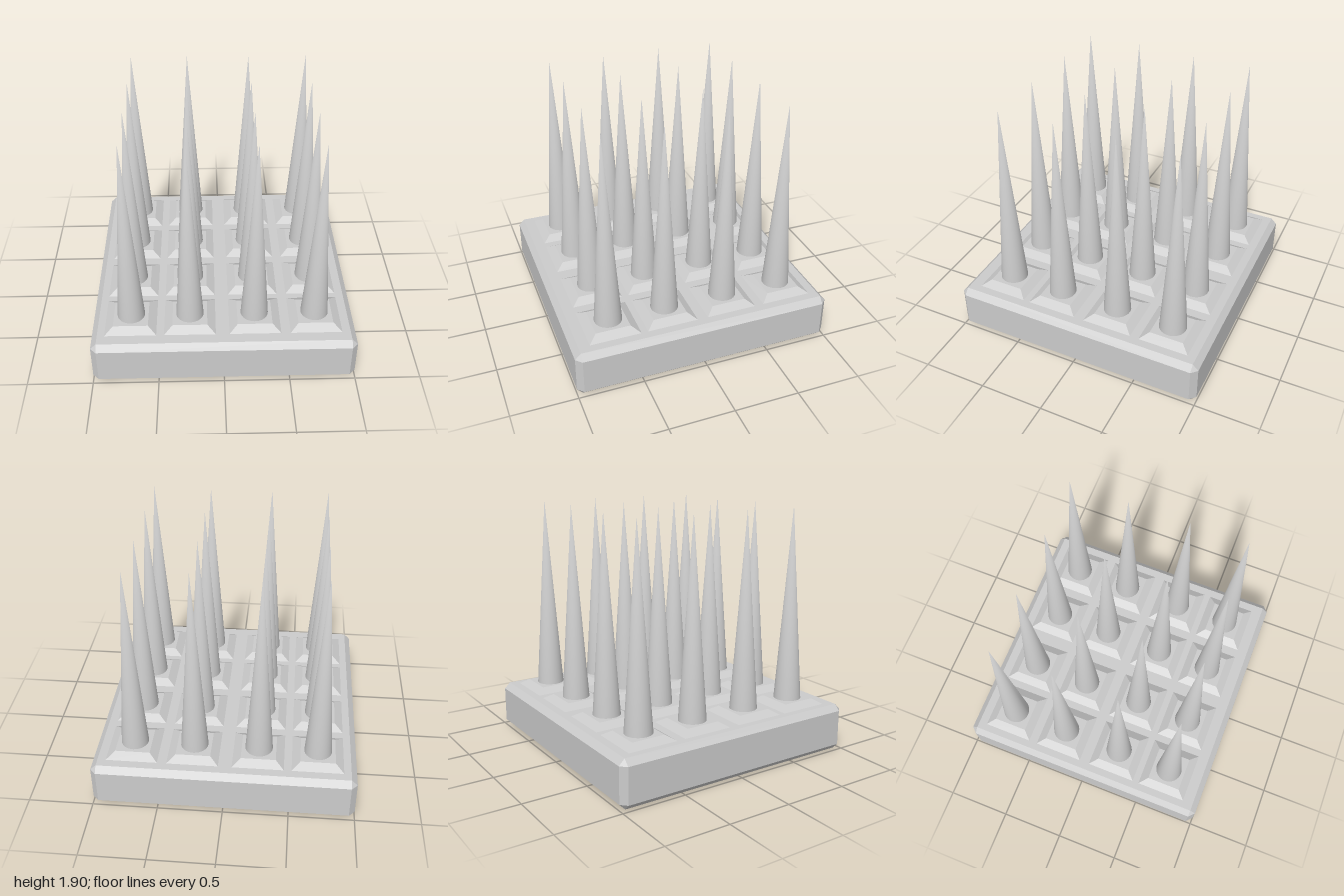
import * as THREE from 'three';
import { mergeVertices } from 'three/addons/utils/BufferGeometryUtils.js';
import { ConvexGeometry } from 'three/addons/geometries/ConvexGeometry.js';

const BASE_TOP = 0.365, TILE_TOP = 0.405, BEVEL = 0.045;

// Box with every edge and corner chamfered
function chamferedBox(w, h, d, b) {
  const points = [];
  for (const sx of [-1, 1]) for (const sy of [-1, 1]) for (const sz of [-1, 1]) {
    for (let axis = 0; axis < 3; axis++) {
      const p = [w / 2 - b, h / 2 - b, d / 2 - b];
      p[axis] += b;
      points.push(new THREE.Vector3(sx * p[0], sy * p[1], sz * p[2]));
    }
  }
  return new ConvexGeometry(points);
}

// Square frustum given by its half widths
function squareFrustum(top, bottom, h) {
  return new THREE.CylinderGeometry(top * Math.SQRT2, bottom * Math.SQRT2, h, 4).rotateY(Math.PI / 4);
}

// Cone with a single shared apex, shaded smoothly over the tip
function smoothSpike(radius, h) {
  const cone = new THREE.ConeGeometry(radius, h, 32, 1, true);
  cone.deleteAttribute('uv');
  cone.deleteAttribute('normal');
  const spike = mergeVertices(cone);
  spike.computeVertexNormals();
  return spike;
}

export function createModel() {
  const model = new THREE.Group();
  model.name = 'spikeTrap';
  const smooth = new THREE.MeshStandardMaterial({ color: 0xcccccc });
  const flat = new THREE.MeshStandardMaterial({ color: 0xcccccc, flatShading: true });

  const add = (name, geometry, material, x, y, z) => {
    const mesh = new THREE.Mesh(geometry, material);
    mesh.name = name;
    mesh.position.set(x, y, z);
    model.add(mesh);
  };

  // Chamfered slab
  add('base', chamferedBox(2, BASE_TOP, 2, BEVEL), flat, 0, BASE_TOP / 2, 0);

  // Slightly uneven 4 x 4 grid of raised tiles, each carrying a spike
  const columns = [-0.705, -0.257, 0.236, 0.697];
  const rows = [-0.695, -0.237, 0.235, 0.676];
  const tileHeight = TILE_TOP - BASE_TOP, spikeHeight = 1.5;
  const tile = squareFrustum(0.132, 0.195, tileHeight);
  const spike = smoothSpike(0.105, spikeHeight);
  for (const x of columns) for (const z of rows) {
    add('tile', tile, flat, x, BASE_TOP + tileHeight / 2, z);
    add('spike', spike, smooth, x, TILE_TOP + spikeHeight / 2, z);
  }
  return model;
}
